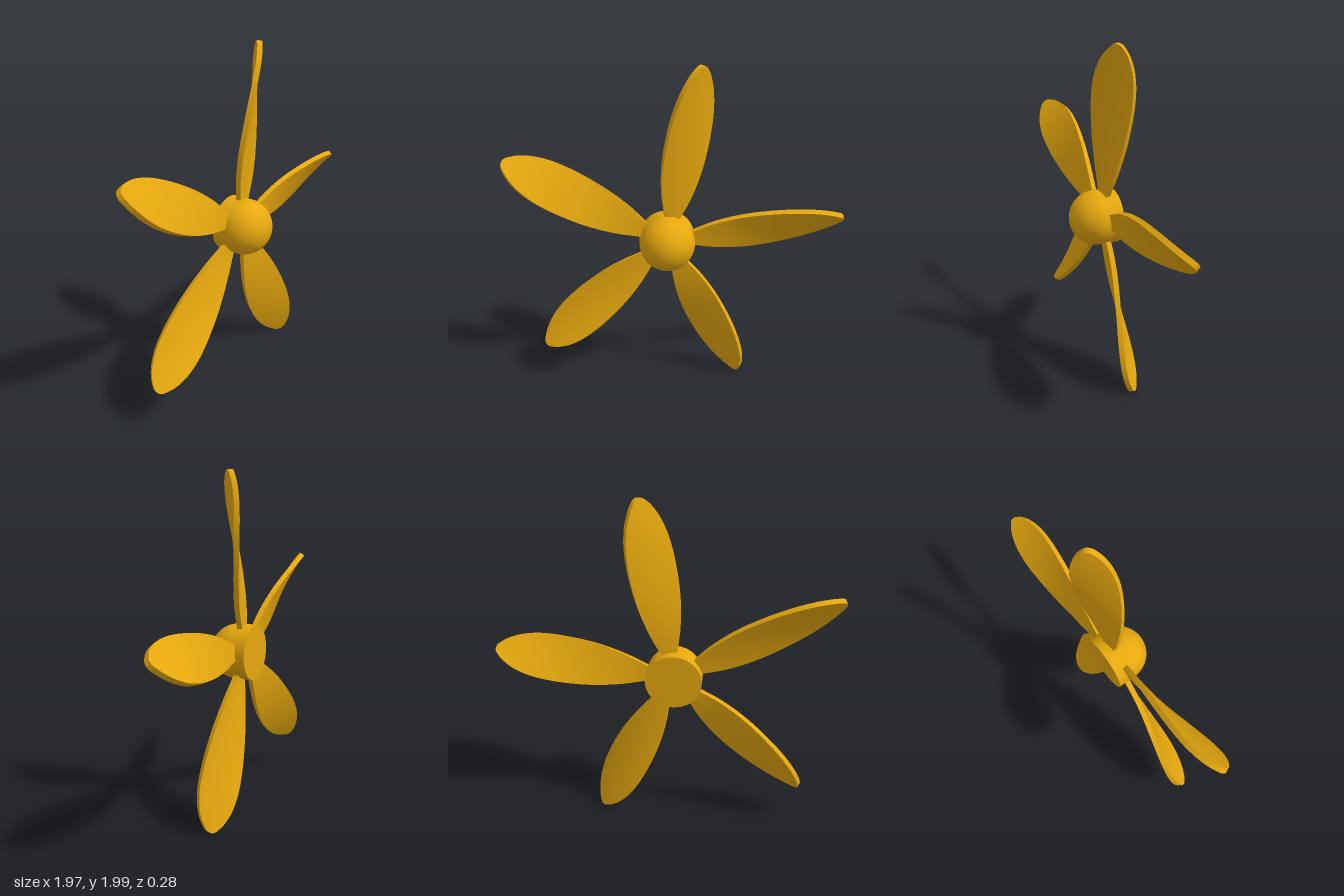
import * as THREE from 'three';

const BLADES = 5;
const HUB_R = 0.163;
const THICKNESS = 0.03;

// half width of the blade against the distance from the hub axis
const outline = new THREE.SplineCurve([
  [0.05, 0.015], [0.16, 0.047], [0.3, 0.09], [0.47, 0.122], [0.65, 0.135], [0.8, 0.13],
  [0.91, 0.107], [0.985, 0.073], [1.03, 0.038], [1.046, 0.017], [1.05, 0],
].map(([u, h]) => new THREE.Vector2(u, h)));

// a flat slab shaped to the outline and twisted more towards the tip
function bladeGeometry() {
  const geo = new THREE.BoxGeometry(1, 1, 1, 60, 8, 1);
  const pos = geo.attributes.position;
  for (let i = 0; i < pos.count; i++) {
    const p = outline.getPoint(Math.min(1, Math.max(0, pos.getX(i) + 0.5)));
    const v = pos.getY(i) * 2 * p.y;
    const w = pos.getZ(i) * THICKNESS;
    const a = THREE.MathUtils.degToRad(43) * (p.x - 0.02);
    pos.setXYZ(i, p.x, v * Math.cos(a) - w * Math.sin(a), v * Math.sin(a) + w * Math.cos(a));
  }
  geo.computeVertexNormals();
  return geo;
}

export function createModel() {
  const model = new THREE.Group();
  model.name = 'propeller';
  const material = new THREE.MeshStandardMaterial({ color: 0xe6a80e });
  const add = (name, geo, z) => {
    const mesh = new THREE.Mesh(geo, material);
    mesh.name = name;
    mesh.position.set(-0.057, 0.964, z);
    model.add(mesh);
    return mesh;
  };

  // hub: domed nose and short cylinder behind it
  const dome = new THREE.SphereGeometry(HUB_R, 48, 20, 0, Math.PI * 2, 0, Math.PI / 2);
  add('hubNose', dome.rotateX(Math.PI / 2), -0.02);
  const barrel = new THREE.CylinderGeometry(HUB_R, HUB_R, 0.107, 48);
  add('hubBarrel', barrel.rotateX(Math.PI / 2), -0.0735);

  // blades around the hub
  const geo = bladeGeometry();
  for (let i = 0; i < BLADES; i++) {
    const blade = add('blade' + (i + 1), geo, -0.056);
    blade.rotation.z = THREE.MathUtils.degToRad(7.2) + (i * Math.PI * 2) / BLADES;
  }
  return model;
}
